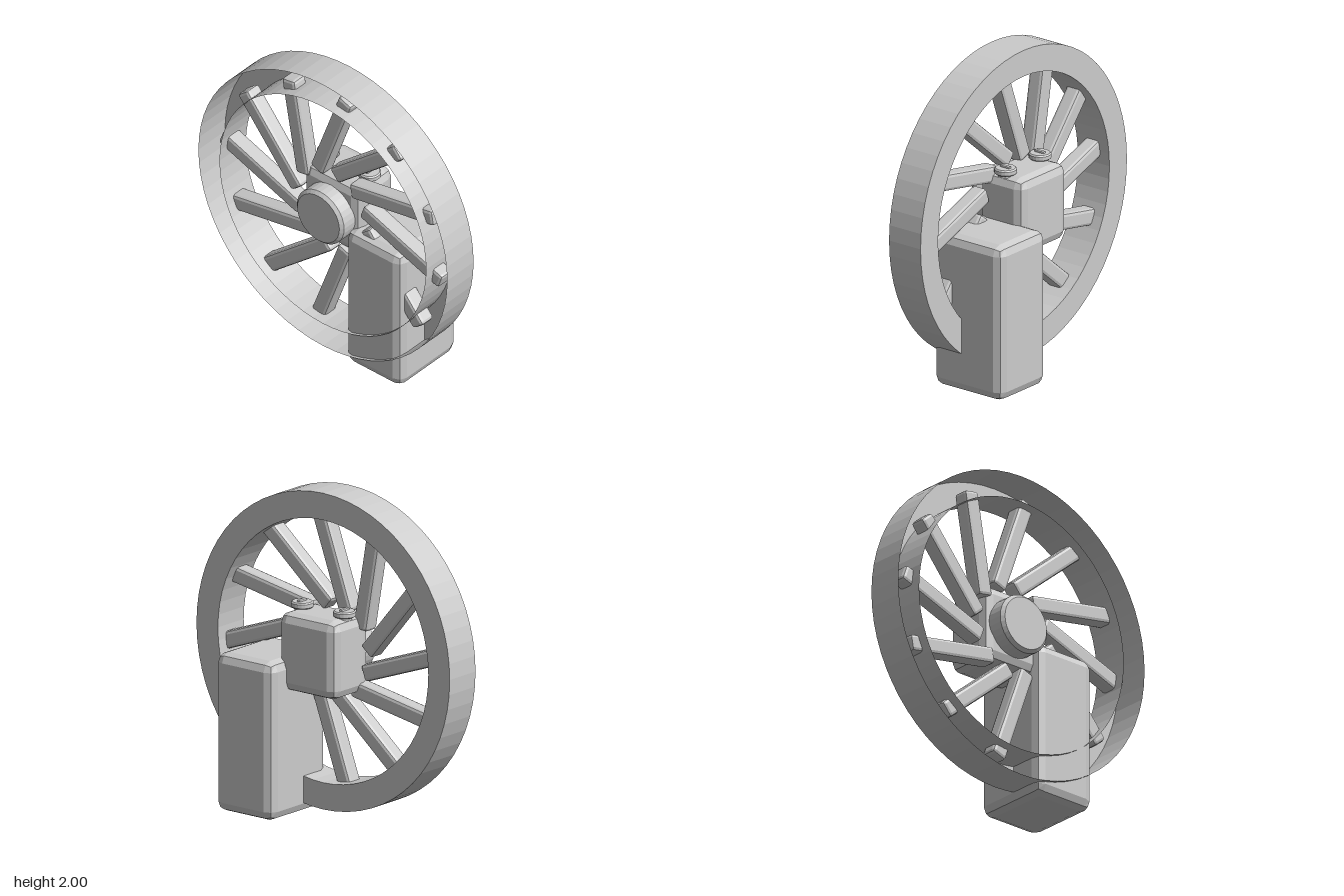
import * as THREE from 'three';
import { RoundedBoxGeometry } from 'three/addons/geometries/RoundedBoxGeometry.js';

const AXLE_Y = 1.025;

export function createModel() {
  const model = new THREE.Group();
  const solid = new THREE.MeshStandardMaterial({ color: 0xcccccc, flatShading: true });
  const open = solid.clone();
  open.side = THREE.DoubleSide;

  function add(name, geometry, parent = model, material = solid) {
    const mesh = new THREE.Mesh(geometry, material);
    mesh.name = name;
    parent.add(mesh);
    return mesh;
  }

  // Box with bevelled edges given by its limits on each axis
  function block(name, [x0, x1], [y0, y1], [z0, z1], bevel, parent) {
    const geometry = new RoundedBoxGeometry(x1 - x0, y1 - y0, z1 - z0, 1, bevel);
    geometry.translate((x0 + x1) / 2, (y0 + y1) / 2, (z0 + z1) / 2);
    return add(name, geometry, parent);
  }

  function lathe(points, segments) {
    return new THREE.LatheGeometry(points.map(([r, h]) => new THREE.Vector2(r, h)), segments);
  }

  // Wheel assembly, turning about the x axis
  const wheel = new THREE.Group();
  wheel.name = 'wheel';
  wheel.position.y = AXLE_Y;
  model.add(wheel);

  // Hollow rim: closed on the +x side, open channel on the -x side
  const rim = add('rim', lathe([[0.975, -0.25], [0.975, -0.01], [0.81, -0.01], [0.81, -0.25]], 64), wheel, open);
  rim.rotation.z = -Math.PI / 2;

  // Twelve skewed spokes, each offset sideways from the axle
  for (let i = 0; i < 12; i++) {
    const arm = new THREE.Group();
    arm.name = 'spokeArm';
    arm.rotation.x = -THREE.MathUtils.degToRad(10 + i * 30);
    wheel.add(arm);
    block('spoke', [-0.185, -0.08], [0.19, 0.85], [-0.24, -0.135], 0.02, arm);
  }

  // Hub disc with a chamfered outer edge
  const hub = add('hubDisc', lathe([[0, -0.29], [0.165, -0.29], [0.185, -0.27], [0.185, -0.15], [0, -0.15]], 32), wheel);
  hub.rotation.z = -Math.PI / 2;

  // Axle housing and the tall body beside it
  block('axleHousing', [-0.18, 0.15], [0.78, 1.265], [-0.22, 0.22], 0.06);
  block('body', [-0.23, 0.29], [0, 0.98], [0.15, 0.59], 0.06);

  // Two screw knobs on top of the housing
  for (const z of [-0.16, 0.165]) {
    const knob = new THREE.Group();
    knob.name = 'knob';
    knob.position.set(-0.015, 1.25, z);
    model.add(knob);
    add('knobCap', lathe([[0, 0], [0.045, 0], [0.045, 0.018], [0.06, 0.018], [0.068, 0.025],
      [0.068, 0.048], [0.06, 0.056], [0, 0.056]], 20), knob);
    block('knobTab', [-0.035, 0.035], [0.05, 0.068], [-0.012, 0.012], 0.005, knob);
  }

  return model;
}
